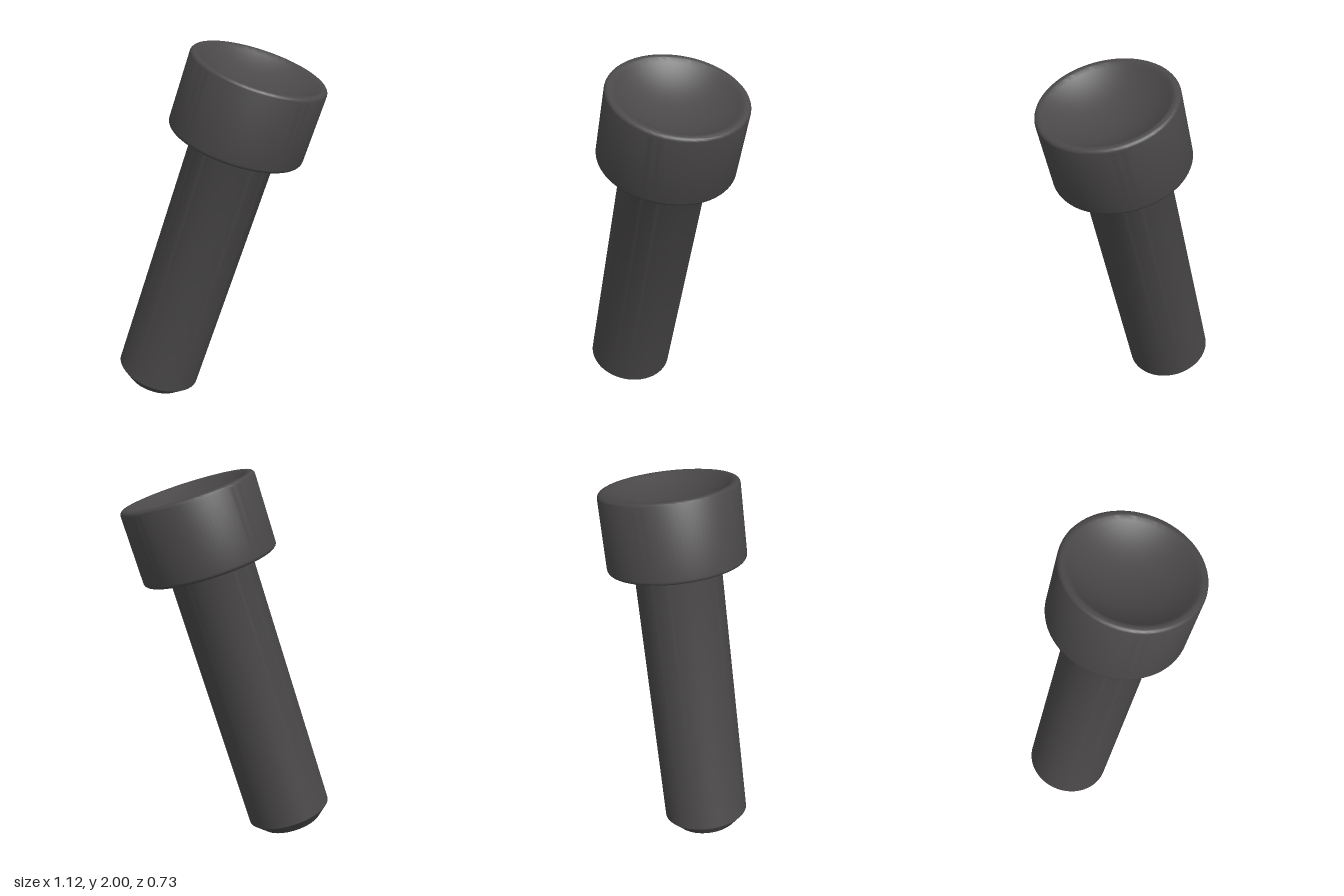
import * as THREE from 'three';
import { toCreasedNormals } from 'three/addons/utils/BufferGeometryUtils.js';

const SHAFT_R = 0.228, HEAD_R = 0.365, HEAD_Y = 1.52, TOP_Y = 1.934;
const SEGMENTS = 96;

// Points of an arc in the (radius, height) plane
function arc(cx, cy, r, from, to, steps) {
  return Array.from({ length: steps + 1 }, (_, i) => {
    const a = from + (to - from) * i / steps;
    return new THREE.Vector2(Math.max(0, cx + r * Math.cos(a)), cy + r * Math.sin(a));
  });
}

function turned(name, points, material) {
  const geometry = toCreasedNormals(new THREE.LatheGeometry(points, SEGMENTS), 0.5);
  const mesh = new THREE.Mesh(geometry, material);
  mesh.name = name;
  return mesh;
}

export function createModel() {
  const model = new THREE.Group();
  model.name = 'bolt';
  const material = new THREE.MeshStandardMaterial({ color: 0x4a4848 });
  const v = (x, y) => new THREE.Vector2(x, y);
  const PI = Math.PI;

  // Shaft: flat end, 45 degree chamfer, fillet under the head
  const fillet = 0.03;
  model.add(turned('shaft', [
    v(0, 0), v(SHAFT_R - 0.062, 0), v(SHAFT_R, 0.062),
    ...arc(SHAFT_R + fillet, HEAD_Y - fillet, fillet, PI, PI / 2, 5),
  ], material));

  // Head: rounded edges and a shallow spherical dish in the top
  const edge = 0.022, lip = 0.012, slope = 0.65;
  const lipX = 0.333;
  const bowlX = lipX - lip * Math.sin(slope);
  const bowlY = TOP_Y - lip * (1 - Math.cos(slope));
  const bowlR = bowlX / Math.sin(slope);
  model.add(turned('head', [
    v(SHAFT_R - 0.02, HEAD_Y),
    ...arc(HEAD_R - edge, HEAD_Y + edge, edge, -PI / 2, 0, 5),
    ...arc(HEAD_R - edge, TOP_Y - edge, edge, 0, PI / 2, 5),
    ...arc(lipX, TOP_Y - lip, lip, PI / 2, PI / 2 + slope, 3),
    ...arc(0, bowlY + bowlR * Math.cos(slope), bowlR, slope - PI / 2, -PI / 2, 16).slice(1),
  ], material));

  // Lean towards +x, resting on the edge of the end face
  model.rotation.z = -THREE.MathUtils.degToRad(17.3);
  model.position.set(-0.36, 0.05, 0);
  const root = new THREE.Group();
  root.name = 'leaningBolt';
  root.add(model);
  return root;
}
